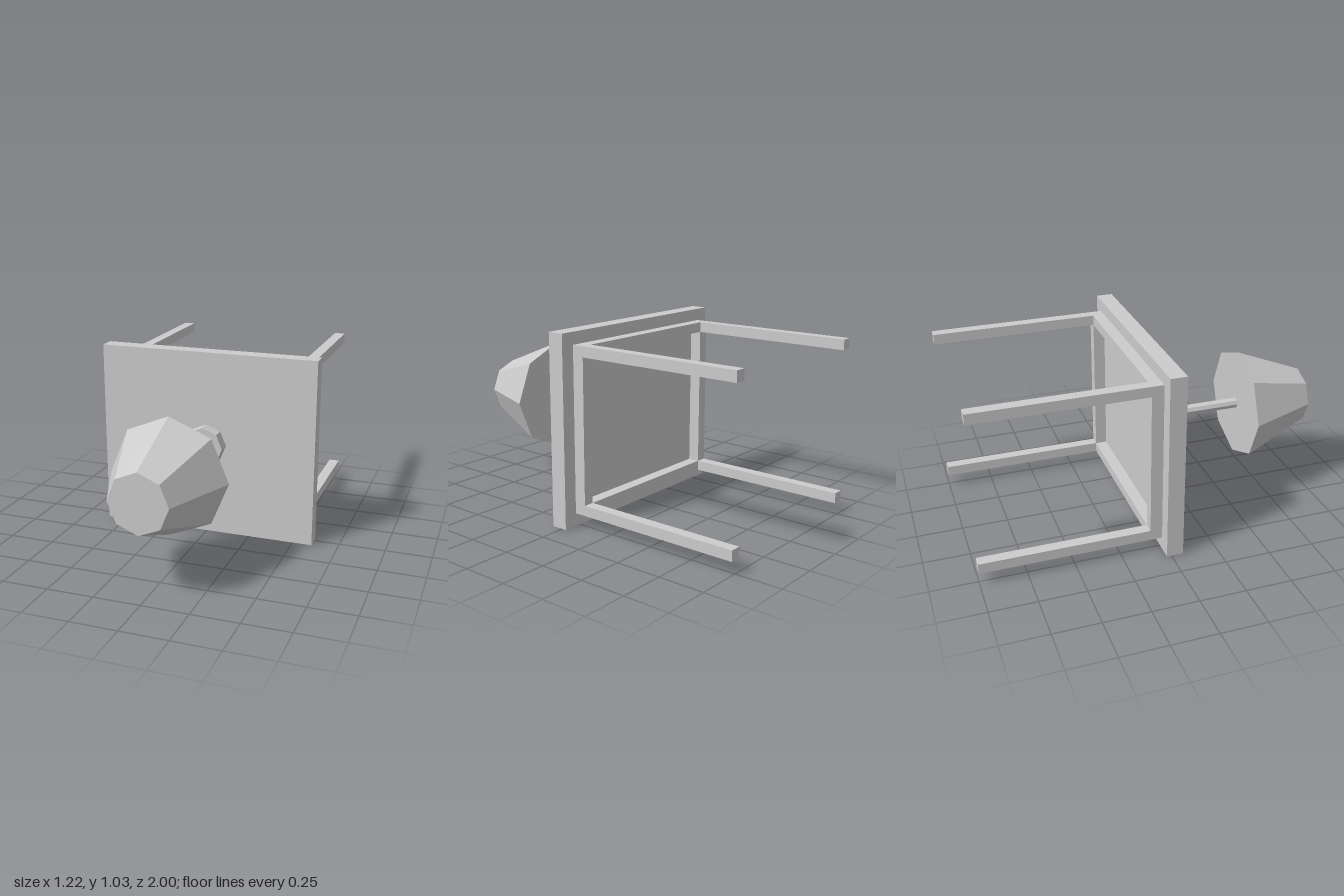
import * as THREE from 'three';

export function createModel() {
  const group = new THREE.Group();
  const material = new THREE.MeshStandardMaterial({ color: 0xcccccc, flatShading: true });
  const midY = 0.517;

  function add(name, geometry, x, y, z) {
    const mesh = new THREE.Mesh(geometry, material);
    mesh.name = name;
    mesh.position.set(x, y, z);
    group.add(mesh);
    return mesh;
  }

  // Eight-sided solid along z, from zBack to zFront
  function octagon(name, rBack, rFront, zBack, zFront) {
    const geometry = new THREE.CylinderGeometry(rFront, rBack, zFront - zBack, 8);
    geometry.rotateX(Math.PI / 2);
    add(name, geometry, 0, midY, (zBack + zFront) / 2);
  }

  // Table lying on its side: the top stands upright
  add('tableTop', new THREE.BoxGeometry(1.216, 1.03, 0.09), 0, 0.515, 0.02);

  // Apron: rectangular frame behind the top
  const w = 0.53, h = 0.447, t = 0.06;
  const rectangle = (Type, a, b) => new Type([
    new THREE.Vector2(-a, -b), new THREE.Vector2(a, -b),
    new THREE.Vector2(a, b), new THREE.Vector2(-a, b),
  ]);
  const frame = rectangle(THREE.Shape, w, h);
  frame.holes.push(rectangle(THREE.Path, w - t, h - t + 0.004));
  add('apron', new THREE.ExtrudeGeometry(frame, { depth: 0.065, bevelEnabled: false }), 0, midY, -0.09);

  // Four legs flush with the apron corners
  for (const sx of [-1, 1]) {
    for (const sy of [-1, 1]) {
      add('leg', new THREE.BoxGeometry(t, 0.056, 0.91), sx * (w - t / 2), midY + sy * (h - 0.028), -0.545);
    }
  }

  // Lamp: foot, pole and tapered shade
  octagon('lampFoot', 0.112, 0.112, 0.065, 0.135);
  octagon('lampPole', 0.03, 0.03, 0.135, 0.612);
  octagon('lampShade', 0.313, 0.157, 0.612, 1);

  return group;
}
